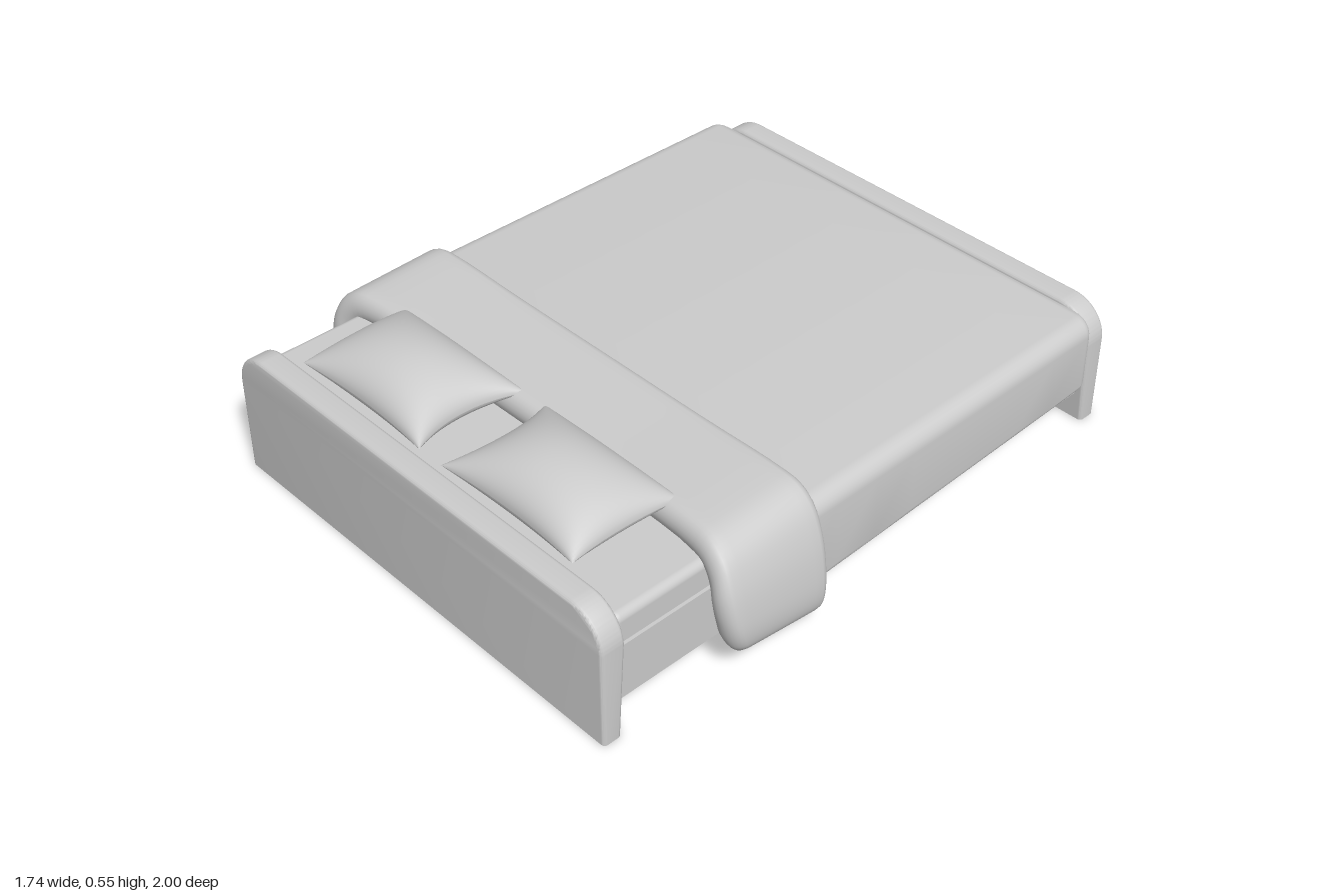
import * as THREE from 'three';
import { mergeGeometries, toCreasedNormals } from 'three/addons/utils/BufferGeometryUtils.js';
import { RoundedBoxGeometry } from 'three/addons/geometries/RoundedBoxGeometry.js';

const material = new THREE.MeshStandardMaterial({ color: 0xcccccc });

function part(name, geometry, x = 0, y = 0, z = 0) {
  const mesh = new THREE.Mesh(geometry, material);
  mesh.name = name;
  mesh.position.set(x, y, z);
  return mesh;
}

// Closed skin over equal-length rings, counter-clockwise about the loft direction
function loft(rings) {
  const n = rings[0].length, last = (rings.length - 1) * n;
  const positions = rings.flat(2), index = [];
  for (let i = 0; i < rings.length - 1; i++) {
    for (let j = 0; j < n; j++) {
      const a = i * n + j, d = i * n + (j + 1) % n;
      index.push(a, d, a + n, d, d + n, a + n);
    }
  }
  // End caps as fans around the ring centres
  [rings[0], rings[rings.length - 1]].forEach((ring, end) => {
    const centre = positions.length / 3;
    for (let k = 0; k < 3; k++) positions.push(ring.reduce((s, p) => s + p[k], 0) / n);
    for (let j = 0; j < n; j++) {
      const k = (j + 1) % n;
      if (end) index.push(centre, last + j, last + k);
      else index.push(centre, k, j);
    }
  });
  const geometry = new THREE.BufferGeometry();
  geometry.setAttribute('position', new THREE.Float32BufferAttribute(positions, 3));
  geometry.setIndex(index);
  geometry.computeVertexNormals();
  return geometry;
}

// Upright end board with round top corners; inner face (+z) tapers at the foot
function boardGeometry(height) {
  const w = 0.78, r = 0.12, depth = 0.08, bevel = 0.012;
  const shape = new THREE.Shape();
  shape.moveTo(-w, 0);
  shape.lineTo(w, 0);
  shape.lineTo(w, height - r);
  shape.absarc(w - r, height - r, r, 0, Math.PI / 2, false);
  shape.lineTo(-w + r, height);
  shape.absarc(-w + r, height - r, r, Math.PI / 2, Math.PI, false);
  shape.closePath();
  const geometry = new THREE.ExtrudeGeometry(shape, {
    depth: depth - 2 * bevel, curveSegments: 16, bevelEnabled: true,
    bevelSize: bevel, bevelThickness: bevel, bevelOffset: -bevel, bevelSegments: 4,
  });
  geometry.translate(0, 0, bevel);
  const p = geometry.attributes.position;
  for (let i = 0; i < p.count; i++) {
    const y = p.getY(i) < bevel + 1e-4 ? 0 : p.getY(i);
    p.setY(i, y);
    if (p.getZ(i) > depth / 2) p.setZ(i, p.getZ(i) - 0.02 * Math.max(0, 1 - y / 0.3));
  }
  return toCreasedNormals(geometry, 0.6);
}

// Rounded cross-section of the blanket at one z
function blanketRing(z, inset) {
  const w = 0.808 + 0.008 * (z - 0.3) - inset;
  const top = 0.4 - inset * 0.5;
  const bottom = 0.105 + 0.042 * (0.3 - z) / 1.2 + inset * 0.7;
  const corners = [[1, bottom, 0.025, 1], [1, top, 0.055, -1], [-1, top, 0.055, -1], [-1, bottom, 0.025, 1]];
  return corners.flatMap(([side, y, r, up], c) =>
    Array.from({ length: 8 }, (_, k) => {
      const t = (c - 1 + k / 7) * Math.PI / 2;
      return [side * (w - r) + r * Math.cos(t), y + up * r + r * Math.sin(t), z];
    }));
}

function blanketGeometry() {
  const rings = [];
  for (let i = 0; i <= 6; i++) {
    const t = i / 6 * Math.PI / 2;
    rings.push(blanketRing(-0.885 - 0.035 * Math.cos(t), 0.035 * (1 - Math.sin(t))));
  }
  for (let i = 1; i <= 8; i++) rings.push(blanketRing(-0.885 + 1.215 * i / 8, 0));
  return toCreasedNormals(loft(rings), 0.7);
}

// Thick turned-down band draped over the bed, swept from side to side
function foldGeometry() {
  const curve = pts => new THREE.CatmullRomCurve3(pts.map(p => new THREE.Vector3(...p)));
  // x, y of the outer skin, and z of its front edge
  const outer = curve([[0, 0.457, 0.595], [0.4, 0.457, 0.6], [0.66, 0.461, 0.61], [0.75, 0.452, 0.62],
    [0.805, 0.41, 0.63], [0.845, 0.32, 0.64], [0.868, 0.2, 0.635], [0.87, 0.12, 0.62], [0.855, 0.057, 0.59]]);
  // x, y of the inner skin, and z of the back edge
  const inner = curve([[0, 0.365, 0.258], [0.4, 0.365, 0.258], [0.66, 0.365, 0.258], [0.73, 0.35, 0.258],
    [0.76, 0.31, 0.258], [0.775, 0.25, 0.258], [0.78, 0.18, 0.26], [0.785, 0.11, 0.263], [0.815, 0.057, 0.27]]);
  const rings = [];
  const stations = 80, around = 36, r = 0.04;
  for (let i = 0; i <= stations; i++) {
    const u = Math.sin((i / stations - 0.5) * Math.PI), a = Math.abs(u), side = Math.sign(u);
    const o = outer.getPoint(a), n = inner.getPoint(a);
    const end = Math.max(0, (a - 0.92) / 0.08);
    const k = Math.sqrt(Math.max(0.0004, 1 - end * end));
    const half = (o.z - n.z) / 2 * (0.85 + 0.15 * k), mid = (o.z + n.z) / 2;
    const drop = THREE.MathUtils.smoothstep(a, 0.4, 0.9);
    rings.push(Array.from({ length: around }, (_, j) => {
      const t = j / around * Math.PI * 2, q = Math.PI / 2;
      // Stadium section: flat skins joined by round edges
      const s = Math.asin(Math.sin(t)) / q;
      const edge = Math.max(0, (Math.abs(s) - 0.4) / 0.6) * q;
      const z = mid + Math.sign(s) * (Math.min(1, Math.abs(s) / 0.4) * (half - r) + r * Math.sin(edge));
      const f = 0.5 + 0.5 * k * Math.cos(edge) * (Math.cos(t) >= 0 ? 1 : -1);
      const tilt = (z - 0.27) * THREE.MathUtils.lerp(-0.04, 0.12, drop);
      return [side * THREE.MathUtils.lerp(n.x, o.x, f), THREE.MathUtils.lerp(n.y, o.y, f) + tilt, z];
    }));
  }
  return loft(rings);
}

// Plump cushion with drawn-in edges and pointed corners; side = +1 or -1
function pillowGeometry(side) {
  const halves = [1, -1].map(up => {
    const g = new THREE.PlaneGeometry(2, 2, 32, 32).rotateX(-up * Math.PI / 2);
    const p = g.attributes.position;
    for (let i = 0; i < p.count; i++) {
      const u = Math.sin(p.getX(i) * Math.PI / 2), v = Math.sin(p.getZ(i) * Math.PI / 2);
      const pinch = u * side < 0 ? 0.045 : 0.015;
      const x = u * (0.272 - 0.008 * (v + 1) / 2 - pinch * (1 - v * v));
      const z = v * (0.184 - 0.017 * (1 - u * u));
      const puff = Math.pow(Math.max(0, (1 - u * u) * (1 - v * v)), 0.5);
      p.setXYZ(i, x, up * puff * (up > 0 ? 0.107 : 0.07), z);
    }
    g.computeVertexNormals();
    return g;
  });
  return mergeGeometries(halves);
}

export function createModel() {
  const bed = new THREE.Group();
  bed.name = 'bed';

  // End boards, both with the tapered face towards the mattress
  const headboard = part('headboard', boardGeometry(0.43), 0, 0, 1);
  headboard.rotation.y = Math.PI;
  bed.add(headboard, part('footboard', boardGeometry(0.4), 0, 0, -1));

  // Base and mattress
  bed.add(part('base', new THREE.BoxGeometry(1.51, 0.18, 1.85), 0, 0.19, 0));
  bed.add(part('mattress', new RoundedBoxGeometry(1.49, 0.12, 1.84, 4, 0.025), 0, 0.312, 0.005));

  // Bedding
  bed.add(part('blanket', blanketGeometry()));
  bed.add(part('blanketFold', foldGeometry()));
  for (const side of [1, -1]) {
    bed.add(part(side > 0 ? 'leftPillow' : 'rightPillow', pillowGeometry(side), side * 0.31, 0.438, 0.727));
  }
  return bed;
}
